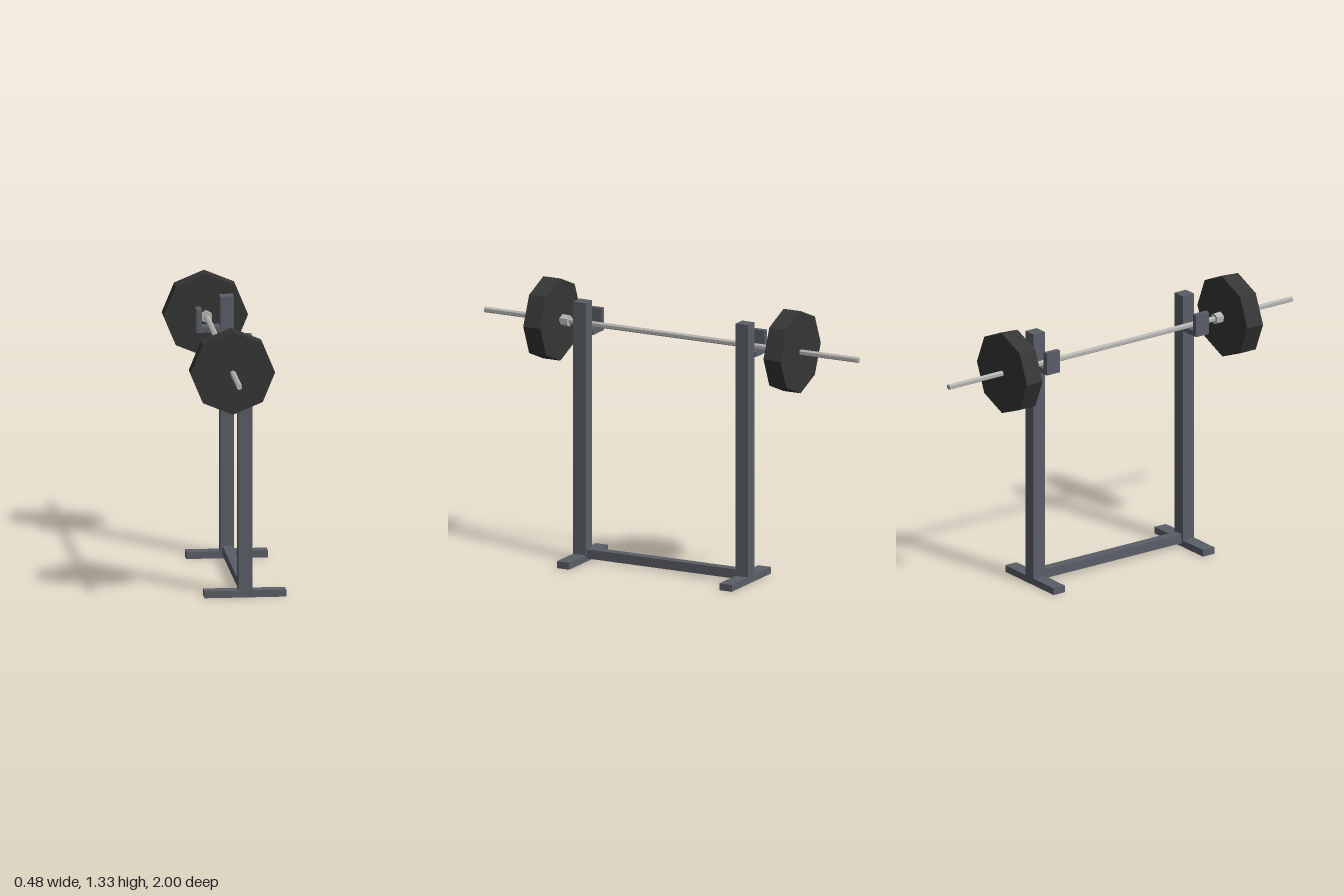
import * as THREE from 'three';

export function createModel() {
  const model = new THREE.Group();
  model.name = 'barbellRack';

  const material = (name, color) => {
    const m = new THREE.MeshStandardMaterial({ color, flatShading: true });
    m.name = name;
    return m;
  };
  const frame = material('frameGrey', 0x5a5e67);
  const rubber = material('plateBlack', 0x363636);
  const steel = material('barSteel', 0xb4b4b2);

  // Box given by its lower and upper limits
  const box = (name, x0, x1, y0, y1, z0, z1, mat, parent) => {
    const mesh = new THREE.Mesh(new THREE.BoxGeometry(x1 - x0, y1 - y0, z1 - z0), mat);
    mesh.position.set((x0 + x1) / 2, (y0 + y1) / 2, (z0 + z1) / 2);
    mesh.name = name;
    parent.add(mesh);
  };

  // Faceted cylinder lying along z on the axis of the bar
  const barX = -0.039, barY = 1.13;
  const disc = (name, radius, z0, z1, sides, mat, parent) => {
    const geometry = new THREE.CylinderGeometry(radius, radius, z1 - z0, sides);
    geometry.rotateX(Math.PI / 2);
    const mesh = new THREE.Mesh(geometry, mat);
    mesh.position.set(barX, barY, (z0 + z1) / 2);
    mesh.name = name;
    parent.add(mesh);
  };

  // Stand: one post, foot and hook at each end
  for (const side of [1, -1]) {
    const end = new THREE.Group();
    end.name = side > 0 ? 'frontStand' : 'backStand';
    const slab = (name, x0, x1, y0, y1, near, far) =>
      box(name, x0, x1, y0, y1, Math.min(side * near, side * far), Math.max(side * near, side * far), frame, end);
    slab('foot', -0.151, 0.236, 0, 0.033, 0.402, 0.468);
    slab('upright', 0.01, 0.075, 0.033, 1.26, 0.402, 0.468);
    slab('hookBase', -0.102, 0.01, 1.09, 1.116, 0.397, 0.473);
    slab('hookLip', -0.102, -0.077, 1.116, 1.2, 0.397, 0.473);
    model.add(end);
  }
  box('crossbar', 0.02, 0.065, 0.016, 0.061, -0.402, 0.402, frame, model);

  // Barbell
  const barbell = new THREE.Group();
  barbell.name = 'barbell';
  disc('bar', 0.014, -1, 1, 6, steel, barbell);
  for (const side of [1, -1]) {
    const along = (a, b) => [Math.min(side * a, side * b), Math.max(side * a, side * b)];
    disc('weightPlate', 0.2, ...along(0.597, 0.688), 8, rubber, barbell);
    disc('collar', 0.028, ...along(0.548, 0.587), 6, steel, barbell);
  }
  model.add(barbell);
  return model;
}
